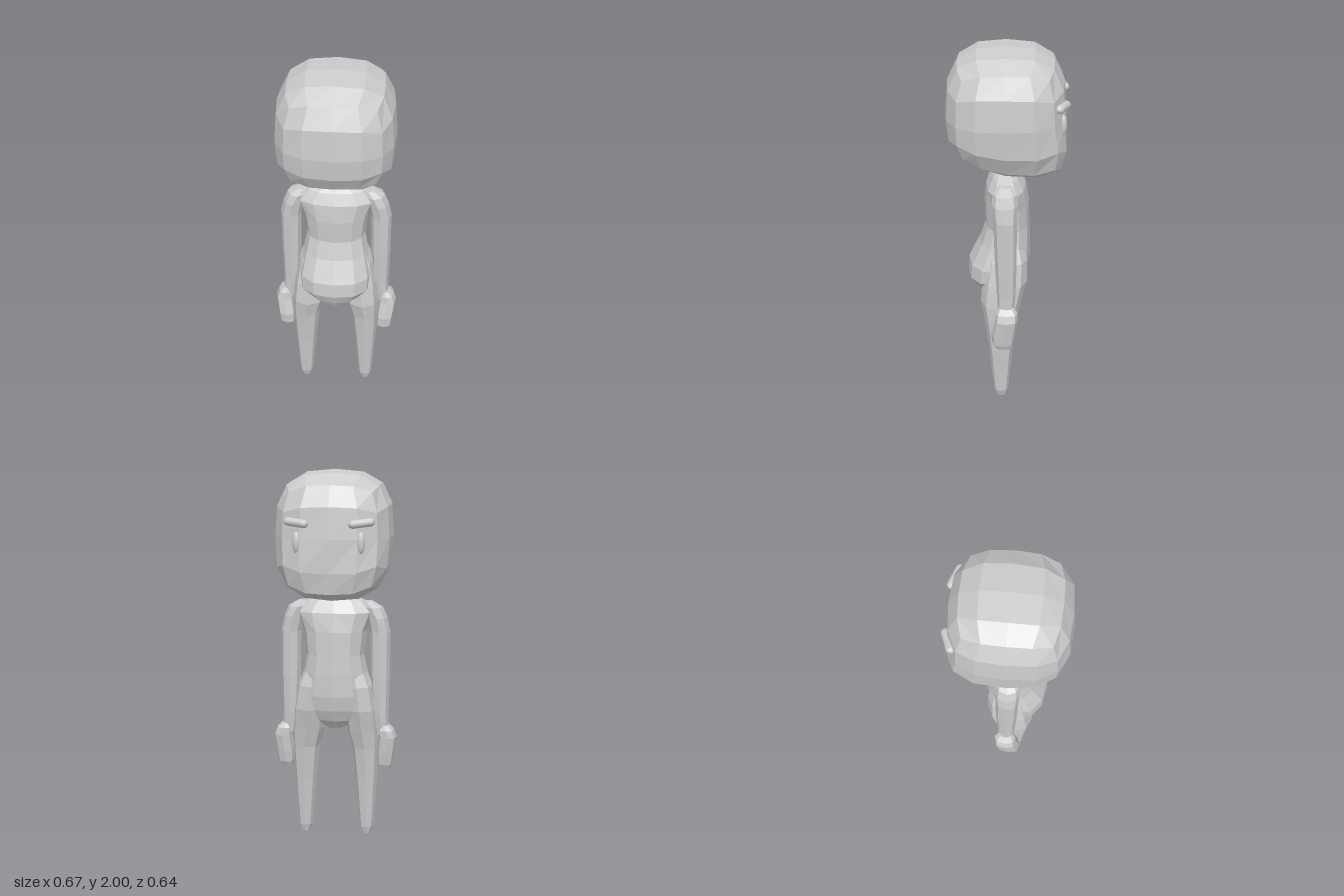
import * as THREE from 'three';

const grey = new THREE.MeshStandardMaterial({ color: 0xcccccc });
grey.name = 'plain grey';

// Faceted normals baked into the geometry
function faceted(geo) {
  const g = geo.index ? geo.toNonIndexed() : geo;
  g.computeVertexNormals();
  return g;
}

// Rings from top to bottom: [y, centreX, radiusX, zMin, zMax]
function loft(rings, sides, side = 1, power = 1) {
  const pos = [], idx = [];
  const soft = (v) => Math.sign(v) * Math.pow(Math.abs(v), power);
  for (const [y, cx, rx, z0, z1] of rings) {
    for (let j = 0; j < sides; j++) {
      const a = (j / sides) * Math.PI * 2;
      pos.push(side * cx + rx * soft(Math.cos(a)), y, (z0 + z1) / 2 + ((z1 - z0) / 2) * soft(Math.sin(a)));
    }
  }
  for (let i = 0; i < rings.length - 1; i++) {
    for (let j = 0; j < sides; j++) {
      const k = (j + 1) % sides;
      const a = i * sides + j, b = i * sides + k;
      idx.push(a, b, a + sides, b, b + sides, a + sides);
    }
  }
  // End caps
  const last = (rings.length - 1) * sides, top = rings.length * sides;
  for (const [y, cx, , z0, z1] of [rings[0], rings[rings.length - 1]]) pos.push(side * cx, y, (z0 + z1) / 2);
  for (let j = 0; j < sides; j++) {
    const k = (j + 1) % sides;
    idx.push(top, k, j, top + 1, last + j, last + k);
  }
  const g = new THREE.BufferGeometry();
  g.setAttribute('position', new THREE.Float32BufferAttribute(pos, 3));
  g.setIndex(idx);
  return faceted(g);
}

// Subdivided box rounded to a soft cube, with the jaw pushed towards the face
function headGeometry() {
  const g = new THREE.BoxGeometry(2, 2, 2, 4, 4, 4);
  const p = g.attributes.position, n = 2.95;
  for (let i = 0; i < p.count; i++) {
    const v = new THREE.Vector3().fromBufferAttribute(p, i);
    const len = Math.pow(Math.abs(v.x) ** n + Math.abs(v.y) ** n + Math.abs(v.z) ** n, 1 / n);
    v.divideScalar(len);
    let x = v.x * 0.31, y = v.y * (v.y > 0 ? 0.34 : 0.32), z = v.z * 0.312;
    if (v.y < 0) {
      y += -v.y * z * (z > 0 ? 0.25 : 0.15);
      if (z < 0) z = Math.max(-0.31, z * (1 - 0.25 * v.y));
    }
    p.setXYZ(i, x, 1.66 + y, z);
  }
  return faceted(g);
}

export function createModel() {
  const model = new THREE.Group();
  model.name = 'figure';
  const add = (name, geo) => {
    const m = new THREE.Mesh(geo, grey);
    m.name = name;
    model.add(m);
    return m;
  };

  add('head', headGeometry());

  // Neck, trunk and rounded seat
  add('torso', loft([
    [1.38, 0, 0.06, -0.03, 0.04],
    [1.345, 0, 0.075, -0.045, 0.05],
    [1.31, 0, 0.16, -0.07, 0.075],
    [1.25, 0, 0.21, -0.105, 0.105],
    [1.15, 0, 0.17, -0.122, 0.115],
    [1.02, 0, 0.155, -0.126, 0.11],
    [0.92, 0, 0.175, -0.13, 0.14],
    [0.8, 0, 0.2, -0.13, 0.2],
    [0.72, 0, 0.195, -0.115, 0.205],
    [0.66, 0, 0.14, -0.09, 0.18],
    [0.61, 0, 0.05, -0.05, 0.15],
  ], 12, 1, 0.85));

  for (const s of [1, -1]) {
    const label = s > 0 ? 'left' : 'right';

    add(label + 'Arm', loft([
      [1.305, 0.17, 0.035, -0.035, 0.04],
      [1.275, 0.2, 0.055, -0.06, 0.065],
      [1.22, 0.225, 0.053, -0.065, 0.07],
      [1.14, 0.24, 0.055, -0.06, 0.062],
      [0.9, 0.242, 0.052, -0.06, 0.055],
      [0.7, 0.245, 0.044, -0.055, 0.045],
      [0.58, 0.255, 0.035, -0.045, 0.04],
    ], 8, s));

    add(label + 'Hand', loft([
      [0.63, 0.268, 0.026, -0.045, 0.035],
      [0.605, 0.28, 0.04, -0.065, 0.05],
      [0.565, 0.287, 0.048, -0.066, 0.055],
      [0.47, 0.275, 0.047, -0.055, 0.075],
      [0.41, 0.271, 0.042, -0.045, 0.07],
      [0.383, 0.27, 0.032, -0.03, 0.05],
    ], 8, s, 0.7));

    add(label + 'Leg', loft([
      [0.97, 0.1, 0.05, -0.08, 0.07],
      [0.85, 0.125, 0.08, -0.115, 0.1],
      [0.72, 0.14, 0.09, -0.115, 0.125],
      [0.6, 0.15, 0.09, -0.085, 0.135],
      [0.5, 0.164, 0.075, -0.062, 0.115],
      [0.3, 0.168, 0.058, -0.038, 0.09],
      [0.04, 0.17, 0.037, -0.014, 0.065],
      [0, 0.17, 0.022, -0.003, 0.052],
    ], 8, s, 0.9));

    // Face details on the -z side
    const eye = add(label + 'Eye', new THREE.SphereGeometry(1, 16, 12));
    eye.scale.set(0.021, 0.055, 0.018);
    eye.position.set(s * 0.165, 1.645, -0.291);
    eye.rotation.y = -s * 0.25;

    const brow = add(label + 'Eyebrow', new THREE.CapsuleGeometry(0.024, 0.09, 6, 14).rotateZ(Math.PI / 2));
    brow.scale.y = 0.9;
    brow.position.set(s * 0.167, 1.743, -0.286);
    brow.rotation.set(0, -s * 0.38, s * 0.1);
  }
  return model;
}
